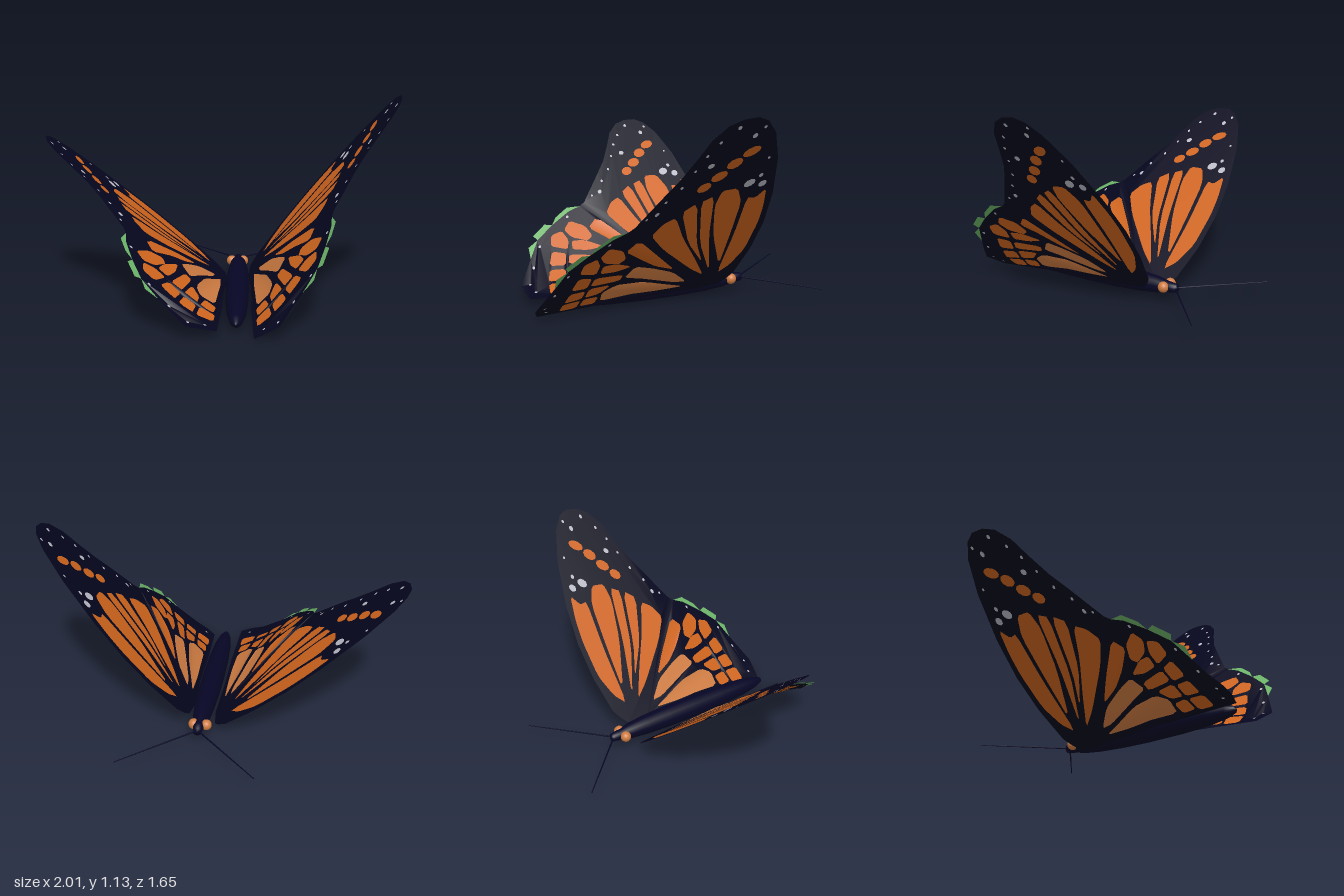
import * as THREE from 'three';

const mat = (name, color, side = THREE.FrontSide) => {
  const m = new THREE.MeshStandardMaterial({ color, side });
  m.name = name;
  return m;
};

// Wing drawn flat as [sideways, backwards] points, shared by both wings
const foreEdge = [[0, -.27], [-.03, -.3], [-.08, -.33], [-.25, -.345], [-.42, -.33], [-.6, -.28], [-.8, -.19], [-.93, -.10],
  [-.985, -.03], [-1, .03], [-.985, .10], [-.95, .16], [-.88, .21], [-.78, .24], [-.68, .275], [-.6, .32], [-.52, .37],
  [-.44, .42], [-.42, .45], [-.38, .40], [-.2, .13], [.03, -.15]];
const hindEdge = [[.03, -.15], [-.2, .13], [-.38, .40], [-.42, .45], [-.4, .52], [-.338, .625], [-.268, .715], [-.17, .76],
  [-.1, .79], [-.02, .82], [.06, .80], [.125, .77], [.09, .4], [.05, .1]];

const foreCells = [
  [[-.08, -.222], [-.14, -.275], [-.25, -.31], [-.42, -.295], [-.52, -.27], [-.63, -.225], [-.575, -.19], [-.575, -.143], [-.35, -.188]],
  [[-.14, -.203], [-.35, -.165], [-.55, -.122], [-.63, -.06], [-.615, .02], [-.53, .02], [-.35, -.062]],
  [[-.09, -.168], [-.35, -.038], [-.585, .05], [-.55, .106], [-.3, -.007]],
  [[-.16, -.09], [-.3, .012], [-.545, .125], [-.49, .185], [-.3, .062]],
  [[-.07, -.14], [-.2, -.022], [-.33, .105], [-.46, .205], [-.42, .26], [-.35, .295], [-.26, .19], [-.12, -.035]],
];
const hindCells = [
  [[-.12, .062], [-.2, .165], [-.335, .36], [-.285, .41], [-.2, .295], [-.15, .19]],
  [[-.235, .39], [-.30, .43], [-.345, .52], [-.30, .555], [-.25, .515], [-.21, .43]],
  [[-.165, .33], [-.22, .44], [-.23, .515], [-.18, .515], [-.16, .42]],
  [[-.12, .362], [-.158, .535], [-.105, .545], [-.082, .37]],
  [[-.07, .415], [-.09, .545], [-.02, .55], [-.02, .47]],
  [[.008, .46], [-.003, .548], [.068, .552], [.068, .465]],
  [[-.24, .535], [-.295, .57], [-.28, .635], [-.22, .64], [-.185, .54]],
  [[-.165, .553], [-.19, .635], [-.115, .655], [-.1, .562]],
  [[-.082, .563], [-.092, .655], [-.02, .665], [-.018, .567]],
  [[0, .565], [0, .665], [.088, .66], [.08, .567]],
];
const paleCells = [
  [[-.03, -.05], [-.1, .06], [-.136, .2], [-.152, .305], [-.09, .35], [-.06, .2], [-.027, .02]],
  [[.005, -.05], [.028, .1], [.04, .22], [.058, .435], [-.02, .45], [-.052, .39], [-.04, .2], [-.008, .03]],
];
const greenScallops = [
  [[-.42, .45], [-.425, .53], [-.38, .6], [-.338, .625], [-.4, .52]],
  [[-.338, .625], [-.35, .67], [-.295, .74], [-.268, .715]],
  [[-.268, .715], [-.235, .77], [-.17, .76]],
];

// Oval outline: centre, half length, half width, long direction
const oval = (x, z, a, b = a, dir = 1.05) => Array.from({ length: 10 }, (_, i) => {
  const t = i * Math.PI / 5, u = a * Math.cos(t), v = b * Math.sin(t);
  return [x + u * Math.cos(dir) - v * Math.sin(dir), z + u * Math.sin(dir) + v * Math.cos(dir)];
});
const tipCells = [[-.83, -.028, .045, .024], [-.765, .03, .04, .027], [-.695, .078, .042, .026],
  [-.632, .13, .036, .025]].map(s => oval(...s));
const foreSpots = [[-.66, -.11, .03, .021], [-.658, -.185, .022, .018], [-.705, -.15, .011], [-.8, -.14, .007],
  [-.91, 0, .013], [-.955, -.03, .008], [-.945, .1, .01], [-.87, .16, .008], [-.8, .195, .008], [-.75, .15, .017, .013],
  [-.72, .22, .007], [-.63, .25, .008], [-.55, .3, .008], [-.485, .32, .012], [-.47, .37, .007]].map(s => oval(...s));
const hindSpots = [[-.37, .53, .008], [-.23, .705, .008], [-.12, .745, .008], [-.02, .77, .008],
  [.06, .74, .008]].map(s => oval(...s));

// Cut each corner once so that the cells look rounded
const rounded = pts => pts.flatMap((p, i) => {
  const q = pts[(i + 1) % pts.length];
  return [.15, .85].map(t => [p[0] + (q[0] - p[0]) * t, p[1] + (q[1] - p[1]) * t]);
});
const v2 = pts => pts.map(p => new THREE.Vector2(...p));

// Placement of the flat wing in space; the hind part droops a little
const droop = (x, z) => Math.max(0, z - .3) * Math.max(0, Math.min(1, (.2 - x) * 4));
const placeRight = (x, z) => [x, .07 - .82 * x + .15 * z - .3 * droop(x, z), z];
const placeLeft = (x, z) => [.2136 - .785 * x + .248 * z, .102 - 1.028 * x + .08 * z - .25 * droop(x, z),
  -.028 + .26 * x + .957 * z];

function sheet(name, outlines, holes, place, material) {
  const shapes = outlines.map(o => new THREE.Shape(v2(o)));
  holes.forEach(h => shapes[0].holes.push(new THREE.Path(v2(h))));
  const geo = new THREE.ShapeGeometry(shapes);
  const p = geo.attributes.position;
  for (let i = 0; i < p.count; i++) p.setXYZ(i, ...place(p.getX(i), p.getY(i)));
  geo.computeVertexNormals();
  const mesh = new THREE.Mesh(geo, material);
  mesh.name = name;
  return mesh;
}

export function createModel() {
  const model = new THREE.Group();
  model.name = 'butterfly';
  const navy = mat('navy', 0x060626);
  const wingNavy = mat('wing navy', 0x05051e, THREE.DoubleSide);
  const orange = mat('orange', 0xd0651e, THREE.DoubleSide);
  const pale = mat('pale orange', 0xcf7c42, THREE.DoubleSide);
  const grey = mat('spot grey', 0xbcbcc8, THREE.DoubleSide);
  const green = mat('edge green', 0x6cb468, THREE.DoubleSide);
  const eyeOrange = mat('eye orange', 0xd07c42);

  // Wings: a dark web with coloured cells filling its openings
  const fore = foreCells.map(rounded).concat(tipCells);
  const hind = hindCells.map(rounded), light = paleCells.map(rounded);
  for (const [side, place] of [['left', placeLeft], ['right', placeRight]]) {
    const wing = new THREE.Group();
    wing.name = side + 'Wing';
    wing.add(
      sheet('forewingWeb', [foreEdge], [...fore, ...foreSpots], place, wingNavy),
      sheet('hindwingWeb', [hindEdge], [...hind, ...light, ...hindSpots], place, wingNavy),
      sheet('forewingCells', fore, [], place, orange),
      sheet('hindwingCells', hind, [], place, orange),
      sheet('paleCells', light, [], place, pale),
      sheet('spots', [...foreSpots, ...hindSpots], [], place, grey),
      sheet('edgeScallops', greenScallops, [], place, green));
    model.add(wing);
  }

  // Body: one spindle from tail to head
  const up = new THREE.Vector3(0, 1, 0);
  const head = new THREE.Vector3(.05, .085, -.45), tail = new THREE.Vector3(.21, .05, .70);
  const axis = head.clone().sub(tail);
  const profile = [[0, 0], [.018, .012], [.034, .06], [.052, .18], [.062, .36], [.066, .58], [.064, .76], [.057, .92],
    [.046, 1.03], [.034, 1.08], [.03, 1.11], [.024, 1.155], [0, 1.16]];
  const body = new THREE.Mesh(new THREE.LatheGeometry(v2(profile), 20), navy);
  body.name = 'body';
  body.position.copy(tail);
  body.quaternion.setFromUnitVectors(up, axis.clone().normalize());
  model.add(body);

  // Eyes
  for (const [side, x, z] of [['left', .09, -.378], ['right', .02, -.368]]) {
    const eye = new THREE.Mesh(new THREE.SphereGeometry(.031, 16, 12), eyeOrange);
    eye.name = side + 'Eye';
    eye.position.set(x, .086, z);
    model.add(eye);
  }

  // Antennae
  const root = new THREE.Vector3(.052, .085, -.43);
  for (const [side, x, z] of [['left', .39, -.825], ['right', -.355, -.75]]) {
    const tip = new THREE.Vector3(x, .093, z);
    const dir = tip.clone().sub(root);
    const antenna = new THREE.Mesh(new THREE.CylinderGeometry(.0025, .005, dir.length(), 6), navy);
    antenna.name = side + 'Antenna';
    antenna.position.copy(root).addScaledVector(dir, .5);
    antenna.quaternion.setFromUnitVectors(up, dir.normalize());
    model.add(antenna);
  }
  return model;
}
